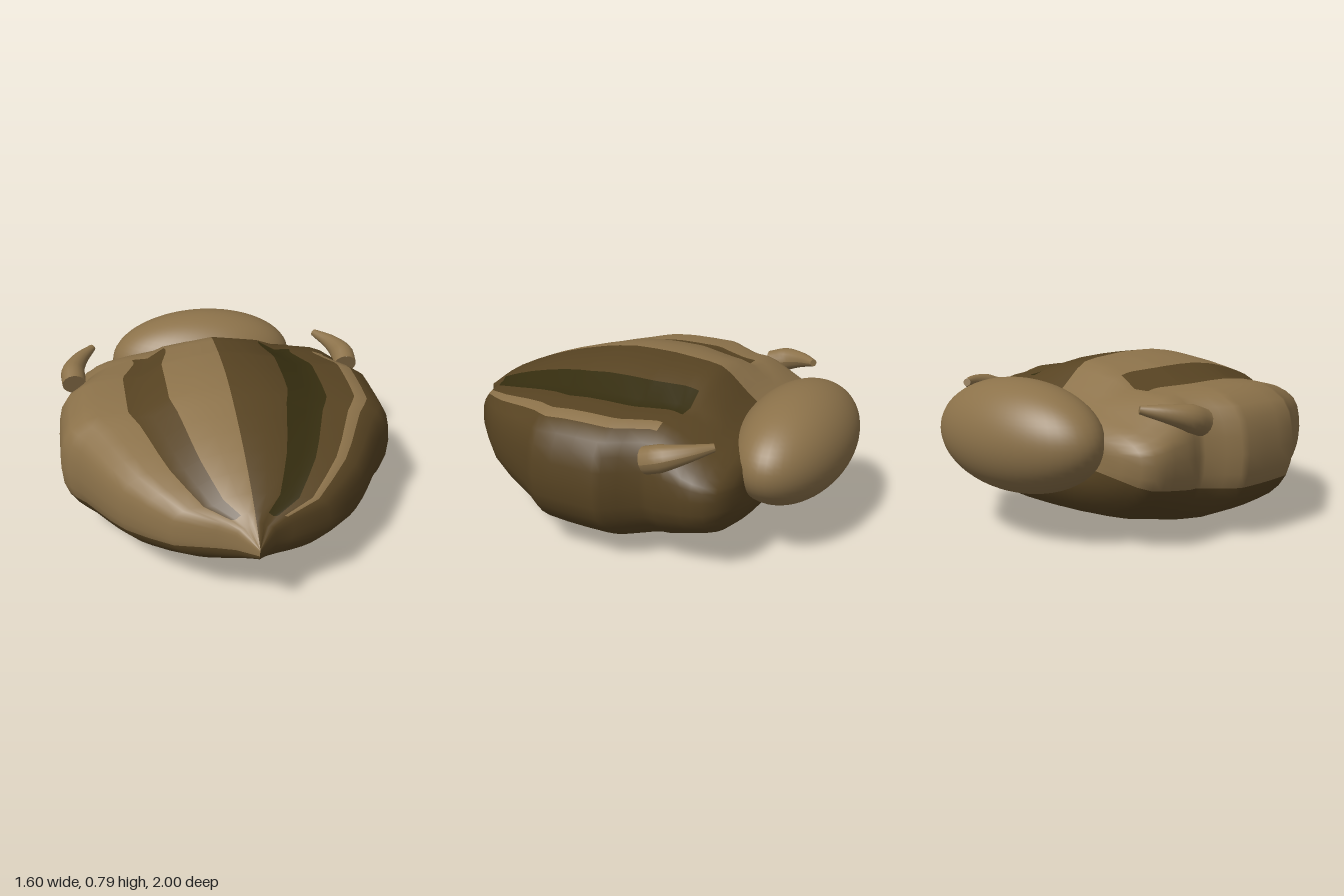
import * as THREE from 'three';

const mat = (name, color) => {
  const m = new THREE.MeshStandardMaterial({ color });
  m.name = name;
  return m;
};

// Cross-sections along the body, back to front: [z, half width, top, bottom]
const MID = 0.4;
const STATIONS = [
  [-0.68, 0, MID, MID], [-0.68, 0.46, 0.49, 0.28], [-0.665, 0.57, 0.53, 0.23],
  [-0.63, 0.65, 0.56, 0.165], [-0.58, 0.685, 0.585, 0.12], [-0.53, 0.697, 0.618, 0.1],
  [-0.48, 0.7, 0.658, 0.083], [-0.4, 0.7, 0.73, 0.055], [-0.35, 0.695, 0.76, 0.038],
  [-0.31, 0.685, 0.768, 0.028], [-0.28, 0.69, 0.773, 0.022], [-0.2, 0.745, 0.78, 0.009],
  [-0.145, 0.787, 0.785, 0.003], [-0.11, 0.8, 0.788, 0.001], [0, 0.8, 0.79, 0],
  [0.1, 0.8, 0.788, 0.004], [0.2, 0.798, 0.775, 0.015], [0.25, 0.765, 0.766, 0.025],
  [0.3, 0.725, 0.755, 0.037], [0.4, 0.67, 0.73, 0.063], [0.5, 0.615, 0.7, 0.095],
  [0.6, 0.55, 0.665, 0.133], [0.7, 0.455, 0.622, 0.182], [0.8, 0.35, 0.573, 0.24],
  [0.87, 0.17, 0.53, 0.285], [0.91, 0.09, 0.5, 0.313], [1, 0, 0.43, 0.375],
];

// Half section from the ridge to the belly, as fractions of width and height
const HALF = [
  [0, 1], [0.18, 0.95], [0.35, 0.88], [0.475, 0.73], [0.59, 0.725], [0.76, 0.7],
  [0.84, 0.645], [0.925, 0.535], [0.97, 0.39], [0.99, 0.21], [1, 0],
];
const BELLY_STEPS = 10;
for (let i = 1; i <= BELLY_STEPS; i++) {
  const a = (i / BELLY_STEPS) * Math.PI / 2;
  HALF.push([i === BELLY_STEPS ? 0 : Math.pow(Math.cos(a), 0.8), -Math.pow(Math.sin(a), 0.8)]);
}

// Material index of one panel: 0 tan, 1 brown, 2 olive
function panelColour(side, k, z) {
  const striped = (k === 2 || k === 3) && z > -0.35 && z < 0.87;
  if (side < 0) return k > 11 || striped ? 1 : 0;
  if (striped) return 2;
  return k === 5 && z > -0.31 && z < 0.87 ? 0 : 1;
}

function bodyGeometry() {
  const n = HALF.length - 1;
  const cols = 2 * n;
  const pos = [];
  for (const [z, w, top, bottom] of STATIONS) {
    // the grooved back turns rounder behind the shell
    const round = THREE.MathUtils.clamp((-0.35 - z) / 0.15, 0, 1);
    for (let j = 0; j < cols; j++) {
      const side = j <= n ? 1 : -1;
      const [fx, fy] = HALF[j <= n ? j : cols - j];
      let y = fy;
      if (fy > 0) y = THREE.MathUtils.lerp(fy, Math.pow(1 - Math.pow(fx, 2.5), 0.4), round);
      pos.push(side * fx * w, MID + y * (fy > 0 ? top - MID : MID - bottom), z);
    }
  }
  const lists = [[], [], []];
  for (let i = 0; i < STATIONS.length - 1; i++) {
    const zMid = (STATIONS[i][0] + STATIONS[i + 1][0]) / 2;
    for (let j = 0; j < cols; j++) {
      const a = i * cols + j, b = i * cols + (j + 1) % cols;
      const d = a + cols, c = b + cols;
      const side = j < n ? 1 : -1;
      const k = j < n ? j : cols - 1 - j;
      lists[panelColour(side, k, zMid)].push(a, d, b, b, d, c);
    }
  }
  const geo = new THREE.BufferGeometry();
  geo.setAttribute('position', new THREE.Float32BufferAttribute(pos, 3));
  geo.setIndex(lists.flat());
  let start = 0;
  lists.forEach((list, m) => {
    geo.addGroup(start, list.length, m);
    start += list.length;
  });
  geo.computeVertexNormals();
  return geo;
}

// Horn thickness: even near the base, then tapering to the tip
const hornRadius = (t) => THREE.MathUtils.lerp(0.061, 0.018, Math.max(0, (t - 0.25) / 0.75));

// Curved horn: a tube whose rings shrink towards the tip
function makeHorn(side, material) {
  const points = [[0.708, 0.557, -0.328], [0.71, 0.585, -0.41], [0.672, 0.608, -0.5], [0.6, 0.628, -0.595]]
    .map(([x, y, z]) => new THREE.Vector3(side * x, y, z));
  const curve = new THREE.CatmullRomCurve3(points);
  const steps = 12, around = 16;
  const geo = new THREE.TubeGeometry(curve, steps, 1, around);
  const p = geo.attributes.position;
  const v = new THREE.Vector3();
  for (let i = 0; i <= steps; i++) {
    const centre = curve.getPointAt(i / steps);
    const r = hornRadius(i / steps);
    for (let j = 0; j <= around; j++) {
      const id = i * (around + 1) + j;
      v.fromBufferAttribute(p, id).sub(centre).multiplyScalar(r).add(centre);
      p.setXYZ(id, v.x, v.y, v.z);
    }
  }
  geo.computeVertexNormals();
  const horn = new THREE.Group();
  horn.name = side > 0 ? 'leftHorn' : 'rightHorn';
  const shaft = new THREE.Mesh(geo, material);
  shaft.name = 'hornShaft';
  horn.add(shaft);
  // flat caps on both ends
  for (const [t, dir] of [[0, -1], [1, 1]]) {
    const cap = new THREE.Mesh(new THREE.CircleGeometry(hornRadius(t), around), material);
    cap.name = 'hornCap';
    cap.position.copy(curve.getPointAt(t));
    cap.quaternion.setFromUnitVectors(new THREE.Vector3(0, 0, 1), curve.getTangentAt(t).multiplyScalar(dir));
    horn.add(cap);
  }
  return horn;
}

export function createModel() {
  const tan = mat('tan', 0x8c724a);
  const brown = mat('brown', 0x574322);
  const olive = mat('dark olive', 0x352d0f);
  const model = new THREE.Group();
  model.name = 'shelledCreature';

  const body = new THREE.Mesh(bodyGeometry(), [tan, brown, olive]);
  body.name = 'stripedBody';
  model.add(body);

  // Rounded lobe at the back
  const lobe = new THREE.Mesh(new THREE.SphereGeometry(1, 48, 32), tan);
  lobe.name = 'rearLobe';
  lobe.scale.set(0.49, 0.255, 0.255);
  lobe.position.set(0, 0.465, -0.745);
  model.add(lobe);

  for (const side of [1, -1]) model.add(makeHorn(side, tan));
  return model;
}
